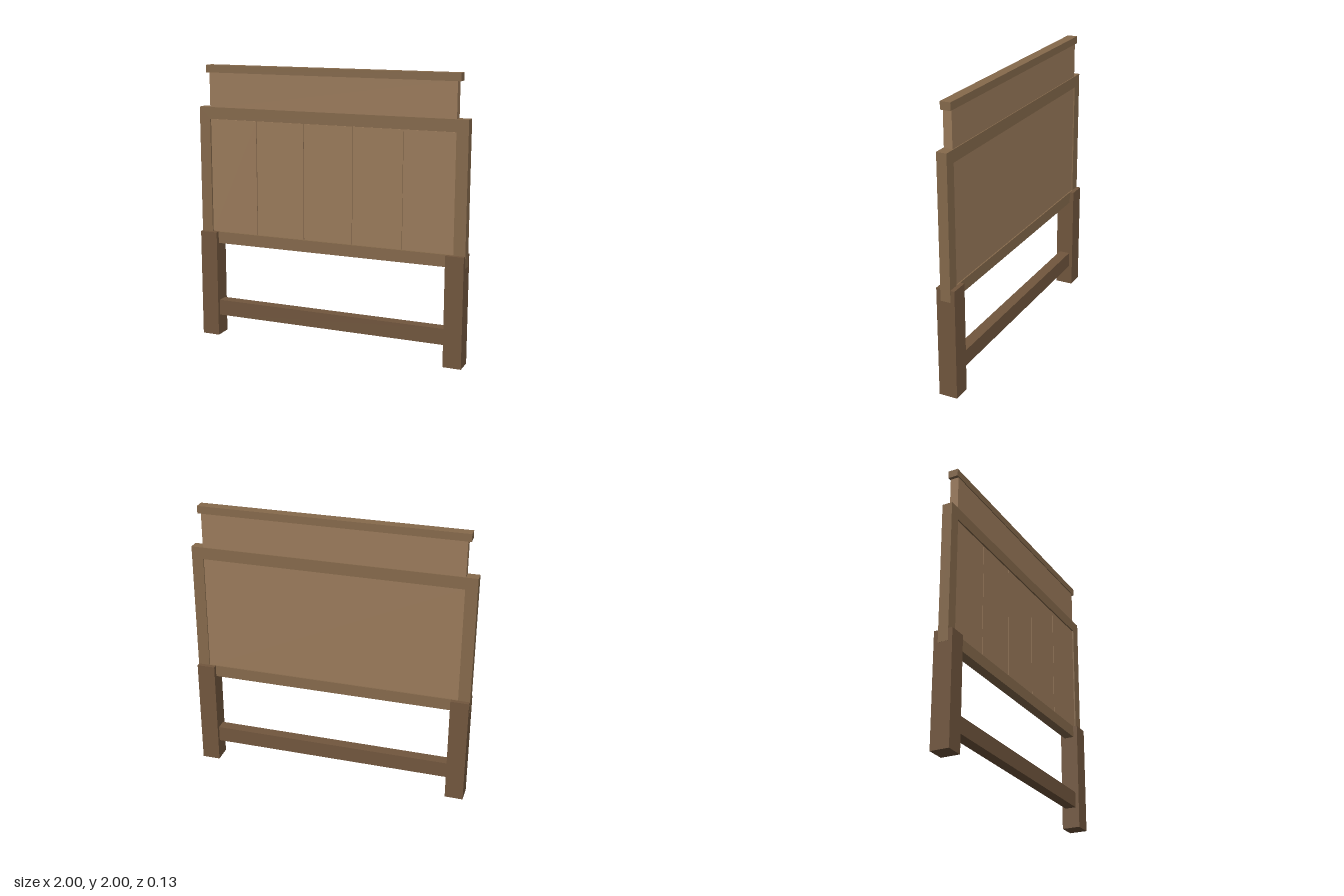
import * as THREE from 'three';

const material = (color) => new THREE.MeshStandardMaterial({ color });

export function createModel() {
  const model = new THREE.Group();
  model.name = 'headboard';
  const panelWood = material(0x9b7b5b);
  const frameWood = material(0x866a4c);
  const legWood = material(0x72573e);

  // Box given by its centre x, bottom, top, width and z range
  function board(name, mat, x, y0, y1, width, z0, z1) {
    const mesh = new THREE.Mesh(new THREE.BoxGeometry(width, y1 - y0, z1 - z0), mat);
    mesh.position.set(x, (y0 + y1) / 2, (z0 + z1) / 2);
    mesh.name = name;
    model.add(mesh);
  }

  // Legs and the stretcher between them
  board('leftLeg', legWood, 0.934, 0, 0.785, 0.13, -0.066, 0.066);
  board('rightLeg', legWood, -0.934, 0, 0.785, 0.13, -0.066, 0.066);
  board('stretcher', legWood, 0, 0.15, 0.265, 1.75, -0.04, 0.04);

  // Rectangular frame with an open centre
  const rectangle = (Type, x, y0, y1) => new Type([
    new THREE.Vector2(-x, y0), new THREE.Vector2(x, y0),
    new THREE.Vector2(x, y1), new THREE.Vector2(-x, y1),
  ]);
  const outline = rectangle(THREE.Shape, 1, 0.7, 1.7);
  outline.holes.push(rectangle(THREE.Path, 0.917, 0.785, 1.615));
  const frameGeometry = new THREE.ExtrudeGeometry(outline, { depth: 0.072, bevelEnabled: false });
  frameGeometry.translate(0, 0, -0.036);
  const frame = new THREE.Mesh(frameGeometry, frameWood);
  frame.name = 'frame';
  model.add(frame);

  // Smooth back panel, with five planks on its front split by narrow grooves
  board('backPanel', panelWood, 0, 0.78, 1.62, 1.84, -0.027, 0.018);
  const pitch = 1.834 / 5;
  for (let i = 0; i < 5; i++) {
    board('plank' + (i + 1), panelWood, (i - 2) * pitch, 0.787, 1.613, pitch - 0.005, 0.01, 0.027);
  }

  // Upper panel and cap
  board('upperPanel', panelWood, 0, 1.69, 1.955, 1.834, -0.03, 0.03);
  board('topCap', frameWood, 0, 1.947, 2, 1.88, -0.036, 0.036);

  return model;
}
